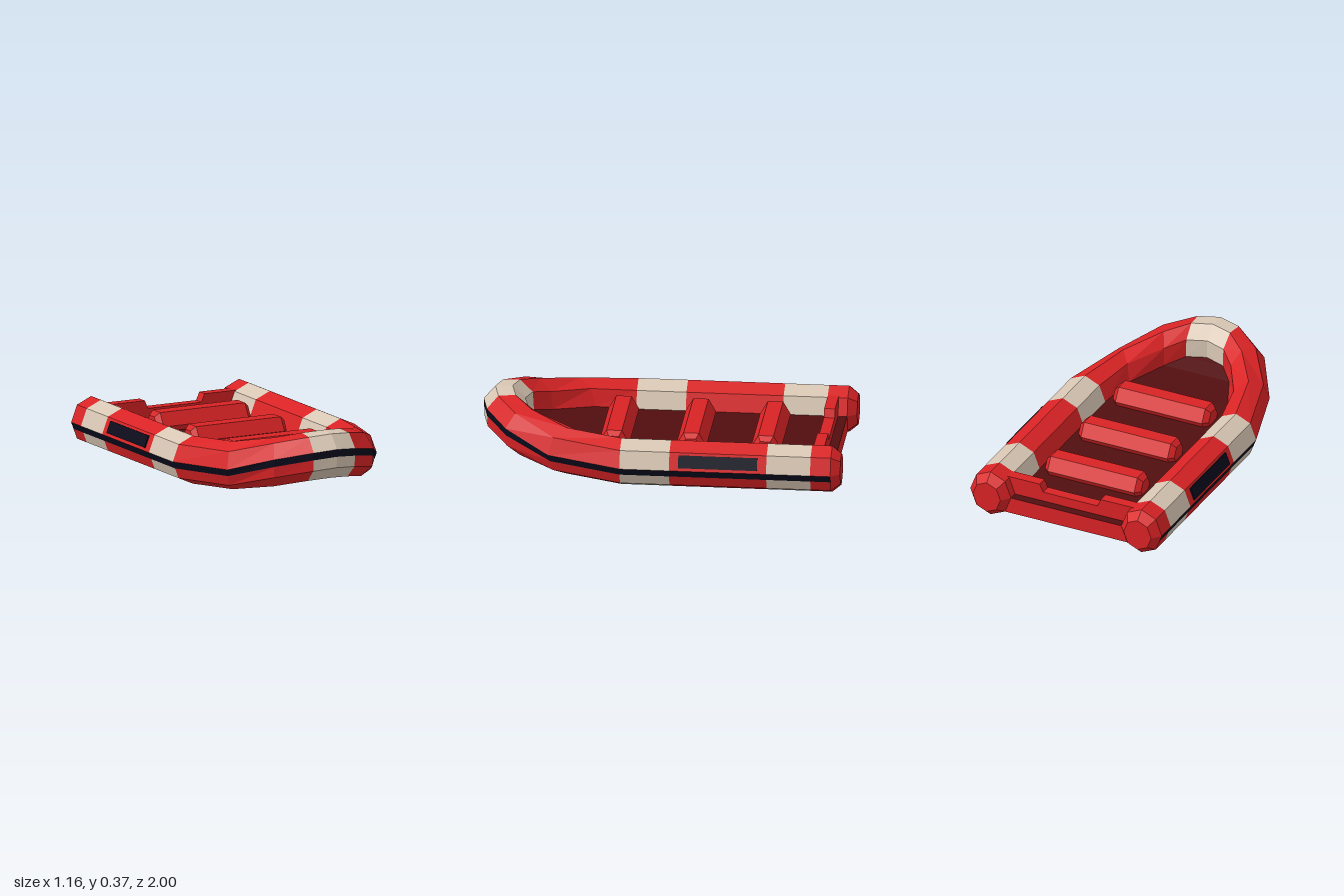
import * as THREE from 'three';

const mat = (name, color) => Object.assign(new THREE.MeshStandardMaterial({ color }), { name });

// Hull stations, stern to bow, on the +x side: centre, plan outward direction, roll, scale
const STRAIGHT = [[-1, 0], [-1, 0.68], [-0.95, 1], [-0.84, 1], [-0.6, 1], [-0.07, 1], [0.2, 1]]
  .map(([z, s]) => ({ c: [0.457, 0.135, z], out: [1, 0], roll: 0, s }));
const BOW = [
  { c: [0.38, 0.155, 0.51], out: [0.67, 0.74], roll: 0, s: 1 },
  { c: [0.2525, 0.205, 0.745], out: [0.47, 0.88], roll: 0.28, s: 1 },
  { c: [0.12, 0.24, 0.852], out: [0.07, 1], roll: 0.33, s: 1 },
];
const TIP = { c: [0, 0.25, 0.882], out: [0, 1], roll: 0.35, s: 1 };
const SIDE = [...STRAIGHT, ...BOW];
const mirror = (t) => ({ ...t, c: [-t.c[0], t.c[1], t.c[2]], out: [-t.out[0], t.out[1]] });

// Point on the octagonal tube section; angle 0 is outboard, a quarter turn is up
function ringPoint(t, angle) {
  const h = Math.cos(angle + t.roll) * 0.123 * t.s;
  const v = Math.sin(angle + t.roll) * 0.133 * t.s;
  return new THREE.Vector3(t.c[0] + t.out[0] * h, t.c[1] + v, t.c[2] + t.out[1] * h);
}

// Section corners, with one extra point where the stripe ends below the outboard corner
function ring(t) {
  const pts = [];
  for (let k = 0; k < 8; k++) pts.push(ringPoint(t, k * Math.PI / 4));
  pts.push(pts[7].clone().lerp(pts[0], 0.6));
  return pts;
}

// Quad with corners a, b and a2, b2 on the next section
const quad = (list, a, b, a2, b2) => list.push(a, b, a2, b, b2, a2);

function facetMesh(name, points, material) {
  const g = new THREE.BufferGeometry().setFromPoints(points);
  g.computeVertexNormals();
  const m = new THREE.Mesh(g, material);
  m.name = name;
  return m;
}

function facet(geometry) {
  const g = geometry.index ? geometry.toNonIndexed() : geometry;
  g.computeVertexNormals();
  return g;
}

export function createModel() {
  const red = mat('red rubber', 0xd92325);
  const cream = mat('cream bands', 0xd8c6b3);
  const navy = mat('navy trim', 0x0a0b1c);
  const maroon = mat('dark red floor', 0x520e10);

  const boat = new THREE.Group();
  boat.name = 'inflatableBoat';

  // Inflated hull tube, swept round the bow, with cream bands and a navy stripe
  const path = [...SIDE, TIP, ...SIDE.map(mirror).reverse()];
  const rings = path.map(ring);
  const redTris = [], creamTris = [], stripeTris = [];
  const creamStarts = [3, 5, 9];
  for (let i = 0; i < path.length - 1; i++) {
    const step = Math.min(i, path.length - 2 - i);
    const body = creamStarts.includes(step) ? creamTris : redTris;
    for (let k = 0; k < 9; k++) {
      const n = (k + 1) % 9;
      const list = k === 8 && step >= 2 ? stripeTris : body;
      quad(list, rings[i][k], rings[i][n], rings[i + 1][k], rings[i + 1][n]);
    }
  }
  boat.add(facetMesh('hullTube', redTris, red));
  boat.add(facetMesh('hullBands', creamTris, cream));
  boat.add(facetMesh('hullStripe', stripeTris, navy));

  // Floor slab between the inboard corners of the tube, rising with the bow
  const floorTris = [];
  const inner = [...SIDE.slice(2), TIP].map((t) => {
    const top = ringPoint(t, Math.PI), low = ringPoint(t, Math.PI * 1.25);
    const flip = (p) => new THREE.Vector3(-p.x, p.y, p.z);
    return { top, low, topR: flip(top), lowR: flip(low) };
  });
  for (let i = 0; i < inner.length - 1; i++) {
    const a = inner[i], b = inner[i + 1];
    quad(floorTris, a.top, a.topR, b.top, b.topR);
    quad(floorTris, a.lowR, a.low, b.lowR, b.low);
  }
  boat.add(facetMesh('floor', floorTris, maroon));

  // Red stern edge of the floor
  const sternTris = [];
  quad(sternTris, inner[0].low, inner[0].lowR, inner[0].top, inner[0].topR);
  boat.add(facetMesh('floorSternEdge', sternTris, red));

  // Transom board with a lowered middle
  const outline = [[-0.4, 0.08], [0.4, 0.08], [0.4, 0.235], [0.185, 0.235], [0.165, 0.19],
    [-0.165, 0.19], [-0.185, 0.235], [-0.4, 0.235]].map(([x, y]) => new THREE.Vector2(x, y));
  const transom = new THREE.Mesh(
    new THREE.ExtrudeGeometry(new THREE.Shape(outline), { depth: 0.06, bevelEnabled: false }), red);
  transom.position.z = -0.9;
  transom.name = 'transom';
  boat.add(transom);

  // Three six-sided inflated seats with tapered ends
  const profile = [[0, -0.29], [0.055, -0.29], [0.083, -0.262], [0.083, 0.262], [0.055, 0.29], [0, 0.29]]
    .map(([r, y]) => new THREE.Vector2(r, y));
  const seatGeometry = facet(new THREE.LatheGeometry(profile, 6).rotateZ(Math.PI / 2));
  [-0.567, -0.16, 0.26].forEach((z) => {
    const seat = new THREE.Mesh(seatGeometry, red);
    seat.position.set(0, 0.165, z);
    seat.name = 'seat';
    boat.add(seat);
  });

  // Thin navy panels on the upper outboard faces
  for (const s of [1, -1]) {
    const panel = new THREE.Mesh(new THREE.BoxGeometry(0.009, 0.07, 0.43), navy);
    panel.position.set(s * 0.565, 0.184, -0.335);
    panel.rotation.z = s * 0.365;
    panel.name = 'sidePanel';
    boat.add(panel);
  }
  return boat;
}
